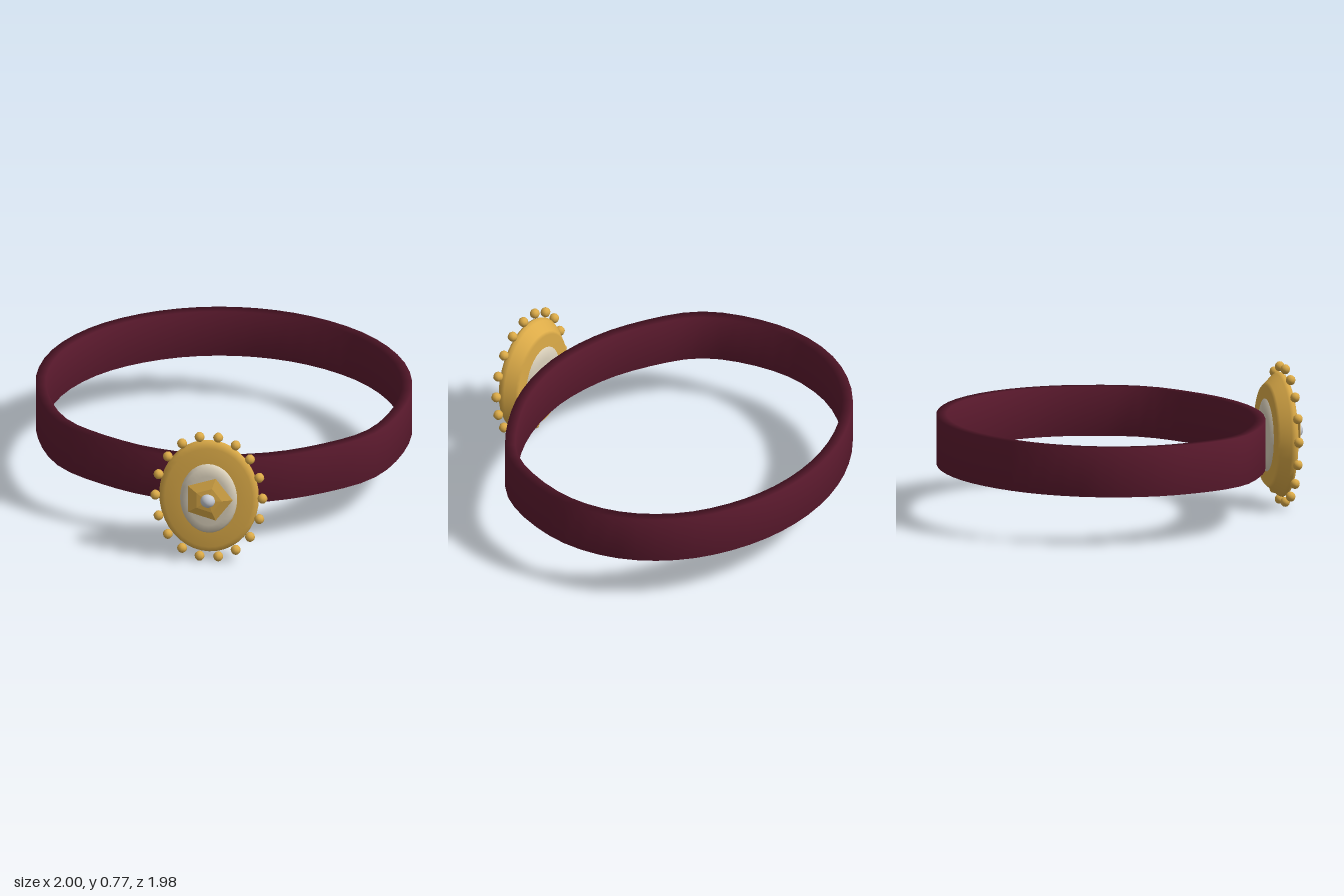
import * as THREE from 'three';

const mat = (color, flatShading = false) => new THREE.MeshStandardMaterial({ color, flatShading });
const maroon = mat(0x5c1a2e), gold = mat(0xdcab48), goldFlat = mat(0xdcab48, true);
const ivory = mat(0xd9cfba), pearl = mat(0xc8ccd4);

function add(parent, name, geometry, material, x = 0, y = 0, z = 0) {
  const mesh = new THREE.Mesh(geometry, material);
  mesh.name = name;
  mesh.position.set(x, y, z);
  parent.add(mesh);
  return mesh;
}

// Profile of [radius, z] turned about the z axis, then stretched to an oval
function turned(profile, segments, rx, ry, start = 0) {
  const pts = profile.map(([r, z]) => new THREE.Vector2(r, z));
  return new THREE.LatheGeometry(pts, segments, start).rotateX(Math.PI / 2).scale(rx, ry, 1);
}

// Rectangular section swept round a closed, slightly squared oval
function bandGeometry(bottom, top, thickness, segments) {
  const half = [[0.38, -0.925], [0.72, -0.73], [0.93, -0.45], [1, -0.13],
    [0.935, 0.2], [0.82, 0.4], [0.6, 0.56], [0.33, 0.68]];
  const outline = [[0, -0.99], ...half, [0, 0.73], ...half.map(([x, z]) => [-x, z]).reverse()];
  const curve = new THREE.CatmullRomCurve3(outline.map(([x, z]) => new THREE.Vector3(x, 0, z)), true);
  const section = [[0, bottom], [0, top], [thickness, top], [thickness, bottom]];
  const pos = [], index = [];
  for (let i = 0; i < segments; i++) {
    const p = curve.getPointAt(i / segments), t = curve.getTangentAt(i / segments);
    for (const [inset, y] of section) pos.push(p.x - t.z * inset, y, p.z + t.x * inset);
    for (let j = 0; j < 4; j++) {
      const n = (i + 1) % segments, k = (j + 1) % 4;
      const a = i * 4 + j, b = n * 4 + j, c = i * 4 + k, d = n * 4 + k;
      index.push(a, c, b, b, c, d);
    }
  }
  const g = new THREE.BufferGeometry();
  g.setAttribute('position', new THREE.Float32BufferAttribute(pos, 3));
  g.setIndex(index);
  g.computeVertexNormals();
  return g;
}

export function createModel() {
  const model = new THREE.Group();
  model.name = 'bracelet';
  add(model, 'band', bandGeometry(0.27, 0.535, 0.055, 56), maroon);

  // Oval medallion in front of the band
  const medallion = new THREE.Group();
  medallion.name = 'medallion';
  model.add(medallion);
  const cy = 0.388;

  add(medallion, 'medallionPlate', turned(
    [[0, 0.785], [0.8, 0.787], [0.84, 0.8], [0.97, 0.85], [1, 0.868], [0.97, 0.885], [0.88, 0.895], [0.55, 0.9], [0, 0.9]],
    40, 0.265, 0.335), gold, 0, cy, 0);
  add(medallion, 'ivoryInlay', turned(
    [[0, 0.775], [0.6, 0.778], [0.95, 0.787], [1, 0.85], [0.98, 0.9], [0.9, 0.92], [0.7, 0.93], [0, 0.932]],
    32, 0.155, 0.21), ivory, 0, cy, 0);
  add(medallion, 'pentagonStud', turned(
    [[0, 0.915], [0.075, 0.927], [0.132, 0.944], [0.075, 0.96], [0, 0.967]],
    5, 1, 1, Math.PI / 2), goldFlat, 0, 0.405, 0);
  add(medallion, 'centrePearl', new THREE.SphereGeometry(0.041, 16, 12), pearl, 0, 0.405, 0.952);

  // Ring of beads round the rim
  const beads = new THREE.Group();
  beads.name = 'rimBeads';
  medallion.add(beads);
  const beadGeometry = new THREE.SphereGeometry(0.027, 8, 6);
  for (let i = 0; i < 18; i++) {
    const a = i * Math.PI / 9;
    add(beads, 'bead', beadGeometry, gold, 0.285 * Math.cos(a), cy + 0.362 * Math.sin(a), 0.88);
  }
  return model;
}
